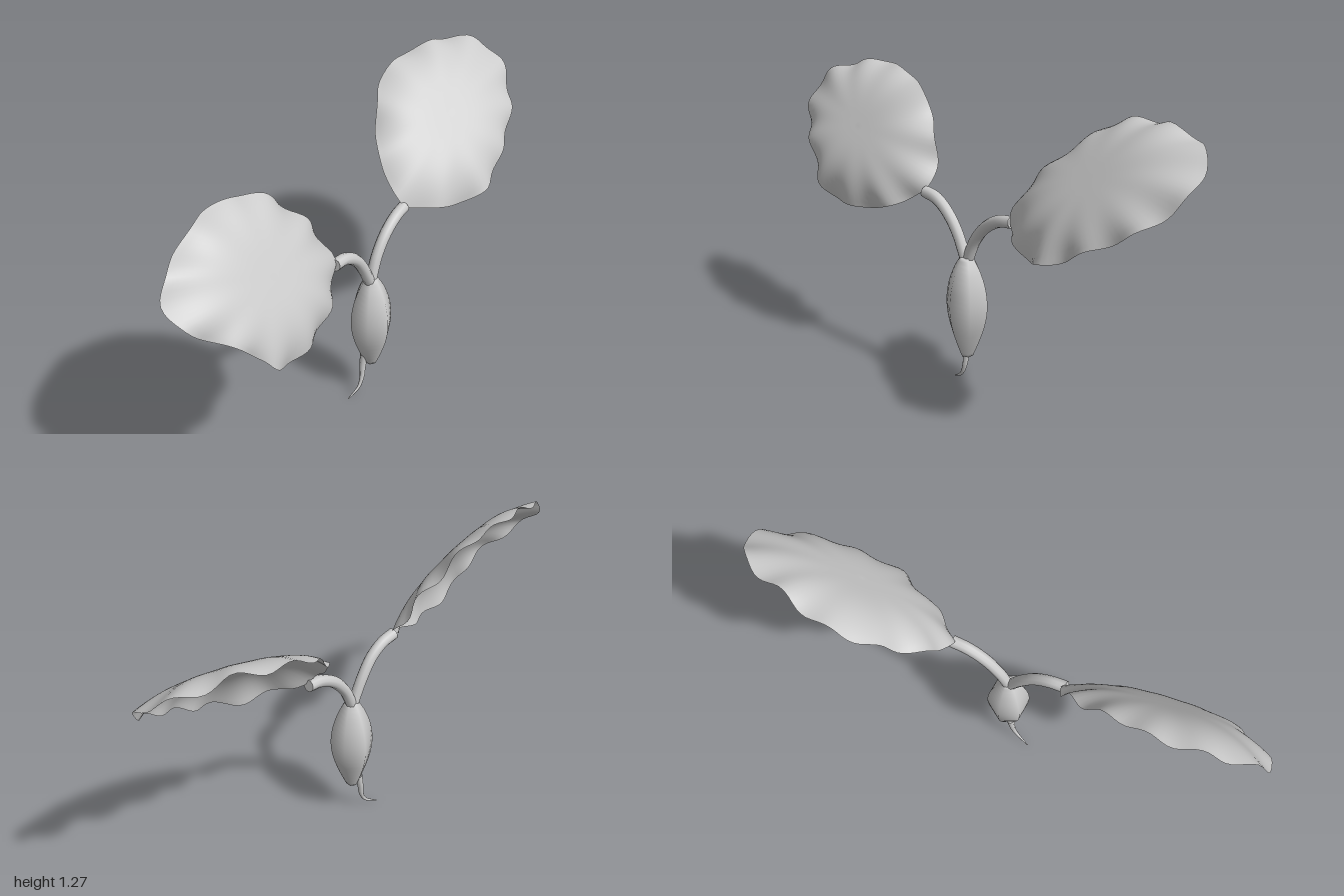
import * as THREE from 'three';

const V = (p) => new THREE.Vector3(...p);

// Tube along a curve, with a radius that varies from r0 to r1
function taperedTube(points, r0, r1, segments, sides) {
  const curve = new THREE.CatmullRomCurve3(points.map(V));
  const geo = new THREE.TubeGeometry(curve, segments, 1, sides, false);
  const pos = geo.attributes.position, v = new THREE.Vector3();
  for (let i = 0; i <= segments; i++) {
    const t = i / segments, c = curve.getPointAt(t);
    for (let j = 0; j <= sides; j++) {
      const k = i * (sides + 1) + j;
      v.fromBufferAttribute(pos, k).sub(c).multiplyScalar(r0 + (r1 - r0) * t).add(c);
      pos.setXYZ(k, v.x, v.y, v.z);
    }
  }
  return { geo, curve };
}

// Domed leaf: a smooth oval centre that bends back into a wavy rim
function leafGeometry(rim, normal, dome, phase) {
  const curve = new THREE.CatmullRomCurve3(rim.map(V), true);
  const n = V(normal).normalize(), around = 96, rings = 18;
  const edge = [], centre = new THREE.Vector3();
  const axisA = new THREE.Vector3(), axisB = new THREE.Vector3();
  for (let i = 0; i < around; i++) {
    const a = (i / around) * Math.PI * 2;
    edge.push(curve.getPointAt(i / around));
    centre.addScaledVector(edge[i], 1 / around);
    axisA.addScaledVector(edge[i], (2 * Math.cos(a)) / around);
    axisB.addScaledVector(edge[i], (2 * Math.sin(a)) / around);
  }
  const positions = [], index = [];
  for (let j = 0; j <= rings; j++) {
    const r = j / rings;
    for (let i = 0; i < around; i++) {
      const a = (i / around) * Math.PI * 2;
      const wave = Math.sin(a * 11 + phase) * 0.012 * r ** 5;
      const outer = centre.clone().addScaledVector(axisA, Math.cos(a))
        .addScaledVector(axisB, Math.sin(a)).lerp(edge[i], r ** 3);
      const p = centre.clone().lerp(outer, r * (1 + wave * 0.8));
      p.addScaledVector(n, dome * (1 - r ** 3.6) + wave);
      positions.push(p.x, p.y, p.z);
    }
  }
  // Wind the faces so that they look along the normal
  const turn = axisA.clone().cross(axisB).dot(n);
  for (let j = 0; j < rings; j++) {
    for (let i = 0; i < around; i++) {
      const a = j * around + i, b = j * around + ((i + 1) % around);
      const c = a + around, d = b + around;
      const tris = j === 0 ? [[a, c, d]] : [[a, c, d], [a, d, b]];
      for (const [p, q, s] of tris) index.push(...(turn > 0 ? [p, q, s] : [p, s, q]));
    }
  }
  const geo = new THREE.BufferGeometry();
  geo.setAttribute('position', new THREE.Float32BufferAttribute(positions, 3));
  geo.setIndex(index);
  geo.computeVertexNormals();
  // The centre ring is collapsed, so give it the leaf normal
  for (let i = 0; i < around; i++) geo.attributes.normal.setXYZ(i, n.x, n.y, n.z);
  return geo;
}

export function createModel() {
  const group = new THREE.Group();
  const grey = new THREE.MeshStandardMaterial({ color: 0xcccccc, side: THREE.DoubleSide });
  grey.name = 'plantGrey';
  const add = (name, geo) => {
    const mesh = new THREE.Mesh(geo, grey);
    mesh.name = name;
    group.add(mesh);
    return mesh;
  };

  // Spindle-shaped bulb, six-sided
  const side = new THREE.SplineCurve([
    [0.026, 0.16], [0.052, 0.225], [0.079, 0.31], [0.089, 0.39],
    [0.081, 0.47], [0.057, 0.545], [0.027, 0.6],
  ].map((p) => new THREE.Vector2(...p))).getPoints(20);
  const profile = [new THREE.Vector2(0, 0.158), ...side, new THREE.Vector2(0, 0.602)];
  const bulb = add('bulb', new THREE.LatheGeometry(profile, 6));
  bulb.position.set(0.03, 0, 0.054);
  bulb.rotation.y = 0.25;

  // Root curling to a point
  add('root', taperedTube([
    [0.005, 0.2, 0.042], [-0.004, 0.14, 0.042], [-0.011, 0.085, 0.047],
    [-0.032, 0.04, 0.052], [-0.09, 0.003, 0.055],
  ], 0.018, 0.002, 20, 8).geo);

  // Arching stems with closed ends
  const stems = {
    leftStem: [[0.03, 0.585, 0.05], [0.068, 0.68, 0.035], [0.125, 0.755, 0.015],
      [0.195, 0.8, -0.01], [0.255, 0.812, -0.033]],
    rightStem: [[0.022, 0.585, 0.055], [-0.028, 0.69, 0.07], [-0.08, 0.762, 0.09],
      [-0.14, 0.803, 0.11], [-0.202, 0.814, 0.132]],
  };
  for (const [name, points] of Object.entries(stems)) {
    const { geo, curve } = taperedTube(points, 0.023, 0.025, 20, 10);
    add(name, geo);
    const cap = add(name + 'End', new THREE.CircleGeometry(0.025, 10));
    cap.position.copy(curve.getPoint(1));
    cap.lookAt(cap.position.clone().add(curve.getTangent(1)));
  }

  // Left leaf, leaning back
  add('leftLeaf', leafGeometry([
    [0.25, 0.82, -0.03], [0.22, 0.93, -0.11], [0.245, 1.02, -0.21], [0.32, 1.12, -0.31],
    [0.39, 1.2, -0.38], [0.55, 1.245, -0.435], [0.69, 1.26, -0.435], [0.84, 1.24, -0.445],
    [0.95, 1.205, -0.39], [0.995, 1.13, -0.31], [0.945, 1.01, -0.18], [0.84, 0.925, -0.08],
    [0.73, 0.85, -0.01], [0.63, 0.795, 0.045], [0.48, 0.77, 0.035], [0.33, 0.8, 0.015],
  ], [-0.06, 0.73, 0.68], 0.076, 0.5));

  // Right leaf, more upright and turned inward
  add('rightLeaf', leafGeometry([
    [-0.2, 0.83, 0.115], [-0.22, 0.91, 0.07], [-0.28, 1.015, 0.05], [-0.4, 1.135, 0.03],
    [-0.47, 1.2, 0.045], [-0.57, 1.22, 0.055], [-0.69, 1.245, 0.09], [-0.84, 1.215, 0.175],
    [-0.945, 1.17, 0.25], [-0.995, 1.1, 0.31], [-0.95, 1.01, 0.37], [-0.82, 0.92, 0.415],
    [-0.705, 0.81, 0.43], [-0.65, 0.735, 0.425], [-0.49, 0.695, 0.36], [-0.31, 0.73, 0.25],
    [-0.23, 0.79, 0.17],
  ], [0.36, 0.51, 0.78], 0.074, 1.5));

  return group;
}
